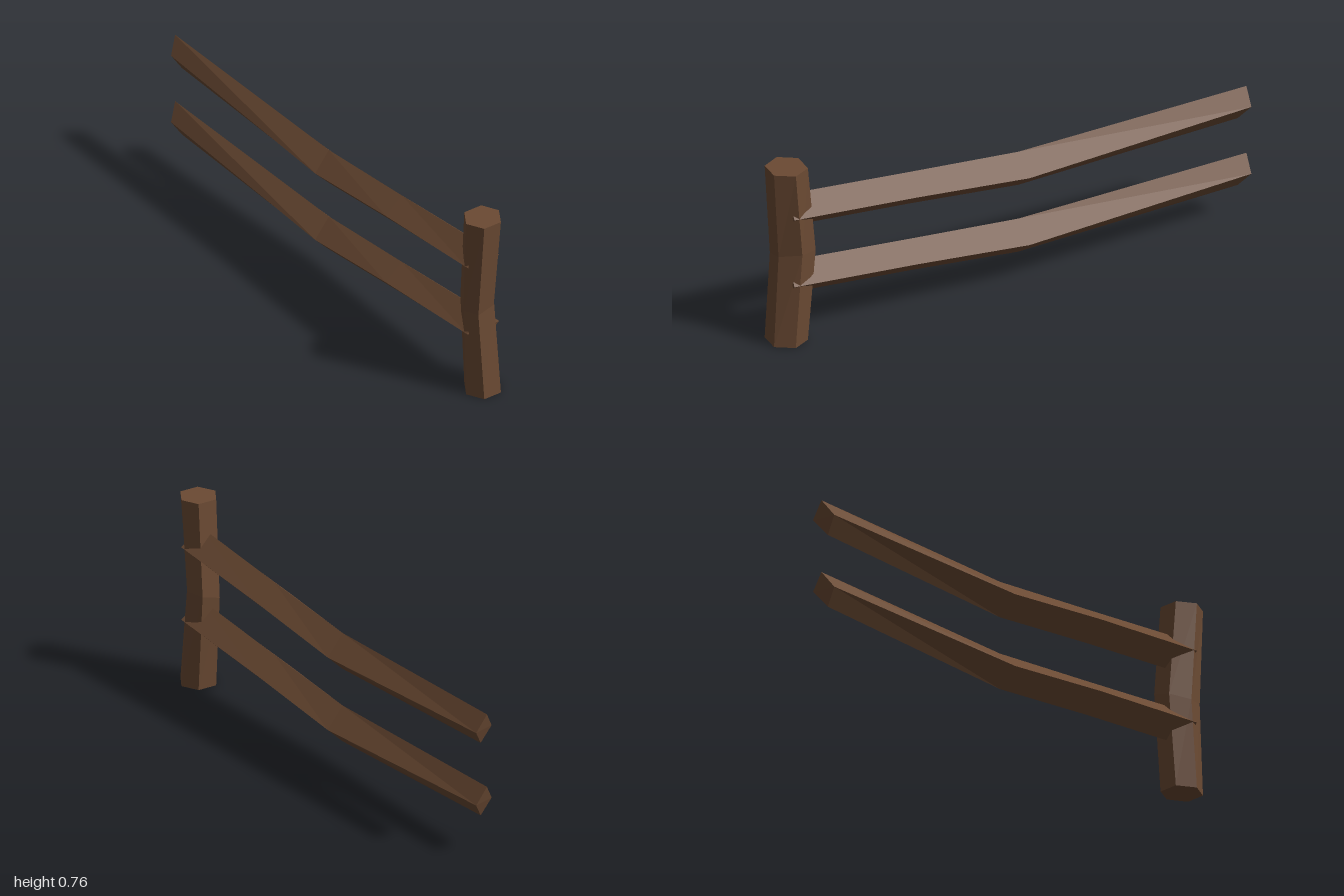
import * as THREE from 'three';

// Joins cross-sections into a closed, faceted solid. Corners run
// counter-clockwise as seen from the last section's end.
function loft(rings) {
  const pos = [];
  const tri = (a, b, c) => pos.push(...a, ...b, ...c);
  const n = rings[0].length;
  for (let r = 0; r < rings.length - 1; r++) {
    const a = rings[r], b = rings[r + 1];
    for (let i = 0; i < n; i++) {
      const j = (i + 1) % n;
      tri(a[i], a[j], b[j]);
      tri(a[i], b[j], b[i]);
    }
  }
  const first = rings[0], last = rings[rings.length - 1];
  for (let i = 1; i < n - 1; i++) {
    tri(first[0], first[i + 1], first[i]);
    tri(last[0], last[i], last[i + 1]);
  }
  const g = new THREE.BufferGeometry();
  g.setAttribute('position', new THREE.Float32BufferAttribute(pos, 3));
  g.computeVertexNormals();
  return g;
}

export function createModel() {
  const model = new THREE.Group();
  model.name = 'fenceSection';
  const wood = new THREE.MeshStandardMaterial({ color: 0x6b4a33 });
  wood.name = 'brown wood';
  wood.flatShading = true;

  const add = (name, geometry) => {
    const mesh = new THREE.Mesh(geometry, wood);
    mesh.name = name;
    model.add(mesh);
    return mesh;
  };

  // Six-sided post, bowed backwards at a slightly tilted middle section
  const endHex = [[0.074, 0.93], [0.042, 0.863], [-0.038, 0.863], [-0.081, 0.932], [-0.047, 1], [0.031, 1]];
  const midHex = [[0.069, 0.9], [0.045, 0.832], [-0.033, 0.832], [-0.076, 0.908], [-0.055, 0.974], [0.017, 0.974]];
  const atHeight = (hex, y, tilt = 0) => hex.map(([x, z]) => [x, y + tilt * x, z]);
  add('post', loft([atHeight(endHex, 0), atHeight(midHex, 0.38, 0.28), atHeight(endHex, 0.762)]));

  // Bent, tapering diamond rails: right edge, ridge, left edge, underside
  const rail = loft([
    [[-0.079, 0.567, 0.935], [-0.005, 0.638, 0.92], [0.072, 0.567, 0.935], [-0.005, 0.495, 0.92]],
    [[-0.073, 0.528, 0.42], [0, 0.593, 0.42], [0.074, 0.522, 0.42], [0, 0.453, 0.42]],
    [[-0.067, 0.482, -0.03], [0.005, 0.554, -0.04], [0.079, 0.475, -0.05], [0.005, 0.407, -0.04]],
    [[-0.035, 0.506, -0.972], [0.005, 0.57, -1], [0.052, 0.504, -0.997], [0.008, 0.44, -0.962]],
  ]);
  add('upperRail', rail);
  add('lowerRail', rail).position.y = -0.297;

  return model;
}
